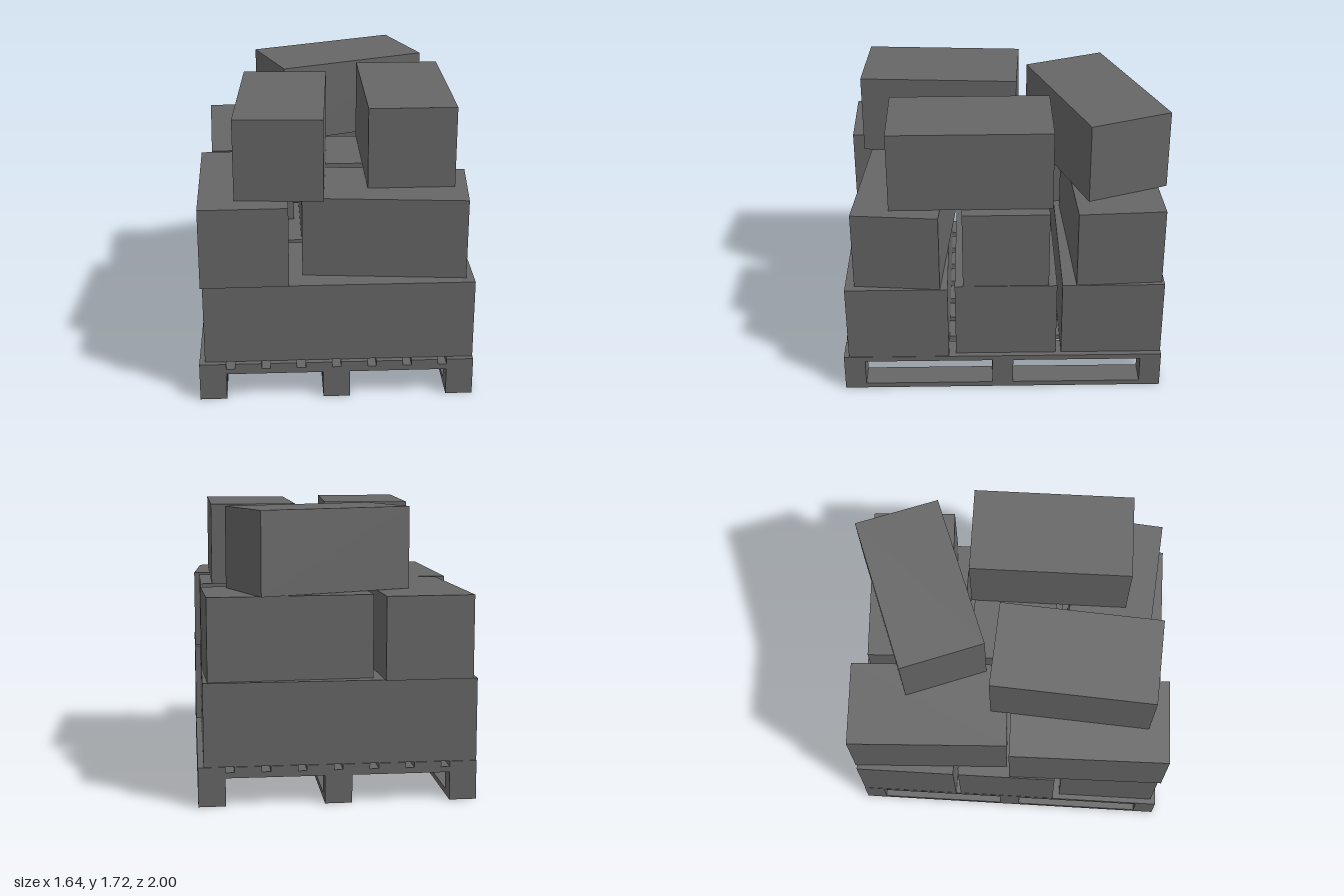
import * as THREE from 'three';

export function createModel() {
  const model = new THREE.Group();
  model.name = 'loadedPallet';

  const grey = new THREE.MeshStandardMaterial({ color: 0x666666 });
  grey.name = 'grey';

  // Box given by its centre in plan, its underside height and its size
  function box(parent, name, [w, h, d], x, y, z, turn = 0) {
    const mesh = new THREE.Mesh(new THREE.BoxGeometry(w, h, d), grey);
    mesh.name = name;
    mesh.position.set(x, y + h / 2, z);
    mesh.rotation.y = turn;
    parent.add(mesh);
  }

  // Pallet: runners, blocks, cross boards and deck boards
  const pallet = new THREE.Group();
  pallet.name = 'pallet';
  model.add(pallet);
  const rowsX = [-0.74, 0, 0.74];
  const rowsZ = [-0.905, 0.015, 0.935];
  for (const x of rowsX) {
    box(pallet, 'runner', [0.16, 0.033, 1.97], x, 0, 0.015);
    for (const z of rowsZ) box(pallet, 'block', [0.16, 0.135, 0.13], x, 0.033, z);
  }
  for (const z of rowsZ) box(pallet, 'crossBoard', [1.64, 0.033, 0.13], 0, 0.168, z);
  for (let i = 0; i < 8; i++) {
    box(pallet, 'deckBoard', [0.16, 0.033, 1.97], -0.74 + i * 1.48 / 7, 0.201, 0.015);
  }

  // Bottom layer: three long cartons
  const long = [1.605, 0.494, 0.62];
  box(model, 'longCarton', long, -0.016, 0.235, -0.657);
  box(model, 'longCarton', long, -0.016, 0.235, -0.005);
  box(model, 'longCarton', long, 0.016, 0.235, 0.658);

  // Upper layers: short cartons, [x, z, turn, lengthwise along z]
  const layers = [
    ['middleCarton', 0.73, [
      [-0.545, 0.495, 0.014, true],
      [-0.51, -0.502, 0.046, true],
      [0.287, -0.667, 0.052, false],
      [0.297, -0.002, 0.006, false],
      [0.31, 0.61, -0.088, false],
    ]],
    ['topCarton', 1.224, [
      [-0.302, 0.385, -0.06, true],
      [0.455, 0.203, 0.006, true],
      [0.085, -0.573, 0.364, false],
    ]],
  ];
  for (const [name, y, cartons] of layers) {
    for (const [x, z, turn, alongZ] of cartons) {
      box(model, name, alongZ ? [0.52, 0.492, 0.972] : [0.972, 0.492, 0.52], x, y, z, turn);
    }
  }
  return model;
}
